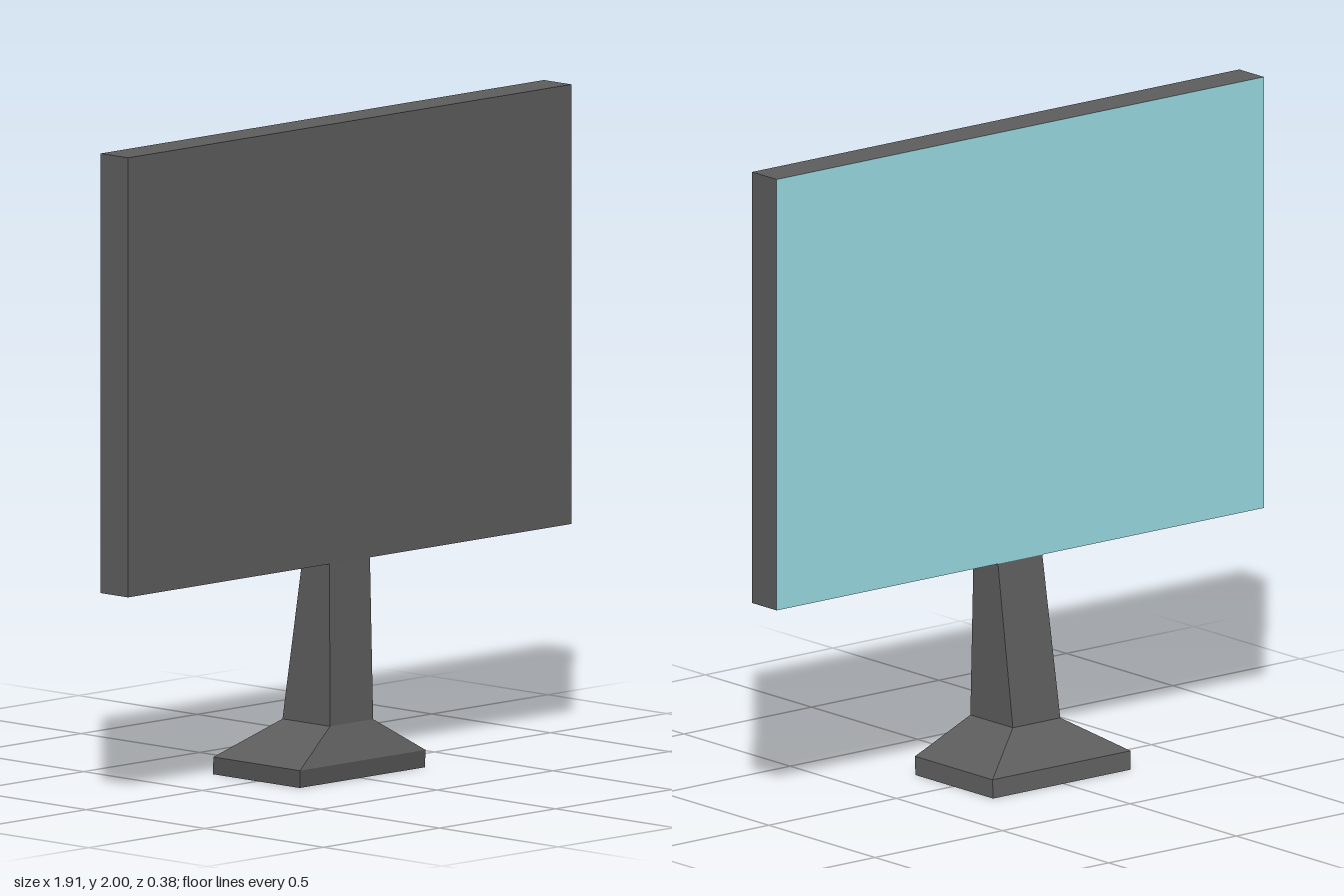
import * as THREE from 'three';

// Four-sided loft through rectangular sections [y, xMin, xMax, zMin, zMax], listed bottom to top.
function loft(sections, capTop) {
  const rings = sections.map(([y, x0, x1, z0, z1]) => [
    [x0, y, z1], [x1, y, z1], [x1, y, z0], [x0, y, z0],
  ]);
  const points = [];
  const quad = (a, b, c, d) => points.push(...a, ...b, ...c, ...a, ...c, ...d);
  for (let i = 0; i < rings.length - 1; i++) {
    const low = rings[i], high = rings[i + 1];
    for (let k = 0; k < 4; k++) {
      const n = (k + 1) % 4;
      quad(low[k], low[n], high[n], high[k]);
    }
  }
  const bottom = rings[0], top = rings[rings.length - 1];
  quad(bottom[3], bottom[2], bottom[1], bottom[0]);
  if (capTop) quad(top[0], top[1], top[2], top[3]);
  const geometry = new THREE.BufferGeometry();
  geometry.setAttribute('position', new THREE.Float32BufferAttribute(points, 3));
  geometry.computeVertexNormals();
  return geometry;
}

export function createModel() {
  const group = new THREE.Group();
  group.name = 'monitor';

  const casing = new THREE.MeshStandardMaterial({ name: 'dark grey casing', color: 0x5d5d5d });
  const glass = new THREE.MeshStandardMaterial({ name: 'pale teal screen', color: 0x9cdde6 });

  const add = (name, geometry, material) => {
    const mesh = new THREE.Mesh(geometry, material);
    mesh.name = name;
    group.add(mesh);
    return mesh;
  };

  // Flat panel, with the display filling its -z face
  const panel = add('displayPanel', new THREE.BoxGeometry(1.91, 1.342, 0.116),
    [casing, casing, casing, casing, casing, glass]);
  panel.position.set(0, 1.329, 0.0745);

  // Foot: slightly skewed slab with a sloping top
  const neckFoot = [0.164, -0.093, 0.093, -0.06, 0.14];
  add('standBase', loft([
    [0, -0.262, 0.277, -0.188, 0.178],
    [0.055, -0.271, 0.27, -0.177, 0.188],
    neckFoot,
  ], false), casing);

  // Neck tapering up to the panel
  add('standNeck', loft([neckFoot, [0.658, -0.087, 0.087, 0.0175, 0.1325]], true), casing);

  return group;
}
